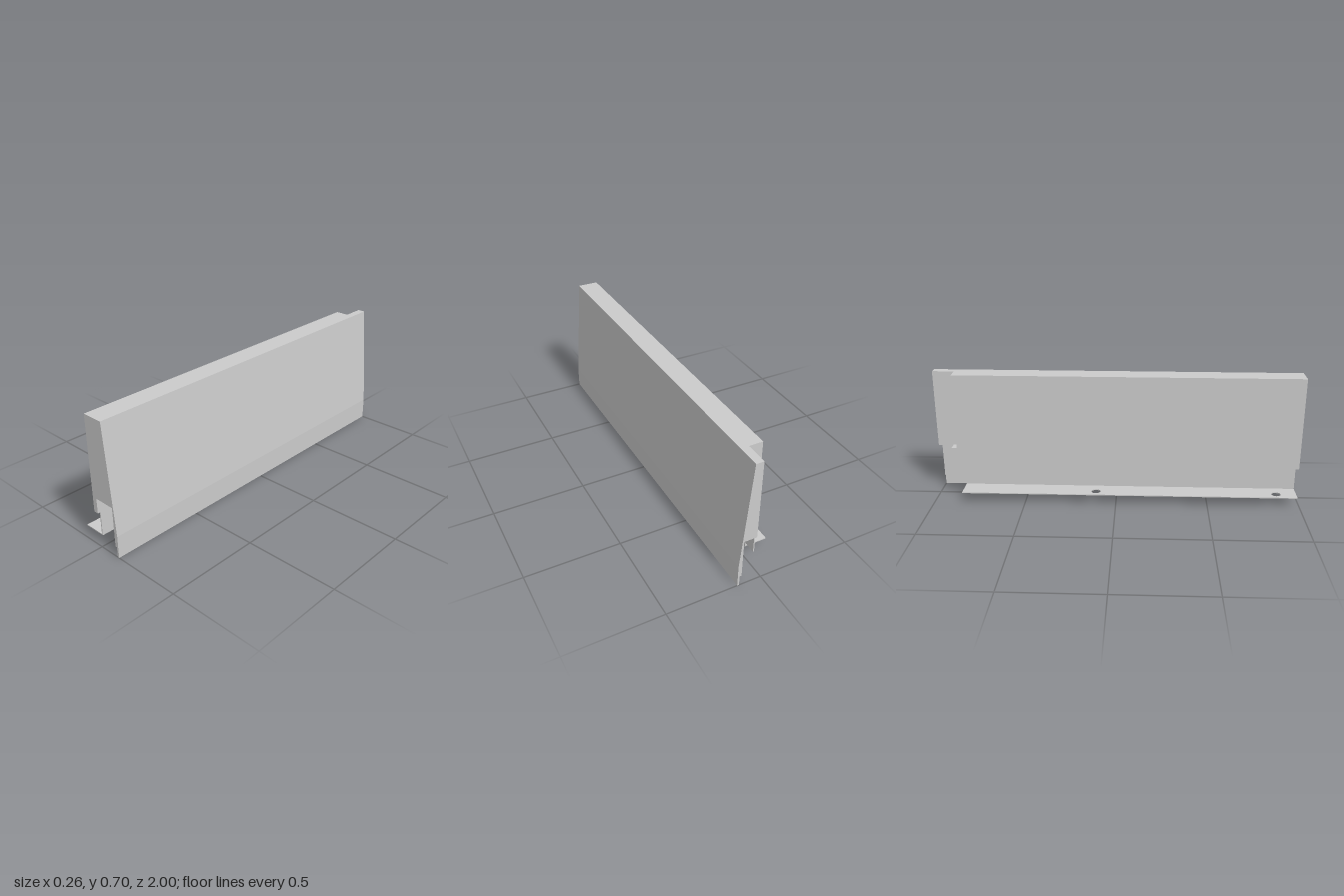
import * as THREE from 'three';

const material = new THREE.MeshStandardMaterial({ color: 0xcccccc });

const outline = (points) => new THREE.Shape(points.map(([a, b]) => new THREE.Vector2(a, b)));

const extrude = (shape, depth) =>
  new THREE.ExtrudeGeometry(shape, { depth, bevelEnabled: false, curveSegments: 16 });

function addPart(group, name, geometry) {
  const mesh = new THREE.Mesh(geometry, material);
  mesh.name = name;
  group.add(mesh);
}

export function createModel() {
  const group = new THREE.Group();
  group.name = 'panelWithBracket';

  // Sloped outer face and stepped lower lip, shared by both panel sections
  const outerSide = [
    [0.108, 0.269], [0.108, 0.056], [0.118, 0.056], [0.118, 0],
    [0.128, 0], [0.128, 0.12], [0.081, 0.7],
  ];

  // Main panel with the channel underneath
  const mainProfile = [
    [-0.033, 0.7], [-0.033, 0.187], [-0.007, 0.187], [-0.007, 0.269], ...outerSide,
  ];
  addPart(group, 'panelBody', extrude(outline(mainProfile), 1.88).translate(0, 0, -0.88));

  // Narrower rear end beside the notch
  const rearProfile = [[0.04, 0.7], [0.04, 0.269], ...outerSide];
  addPart(group, 'panelRearEnd', extrude(outline(rearProfile), 0.12).translate(0, 0, -1));

  // Upright bracket web, drawn as z and y, with a raised rear corner
  const web = outline([
    [0.985, 0.055], [0.985, 0.187], [-0.88, 0.187], [-0.88, 0.275],
    [-0.915, 0.275], [-0.915, 0.082], [-0.845, 0.082], [-0.845, 0.055],
  ]);
  addPart(group, 'bracketWeb', extrude(web, 0.006).rotateY(-Math.PI / 2).translate(-0.007, 0, 0));

  // Folded upper tab showing in the notch
  addPart(group, 'bracketTopTab',
    new THREE.BoxGeometry(0.047, 0.006, 0.035).translate(0.0165, 0.272, -0.8975));

  // Mounting flange, drawn as x and z, with two screw holes
  const flange = outline([[-0.128, -0.845], [-0.013, -0.845], [-0.013, 0.985], [-0.128, 0.985]]);
  for (const z of [-0.11, 0.875]) {
    flange.holes.push(new THREE.Path().absarc(-0.085, z, 0.025, 0, Math.PI * 2, true));
  }
  addPart(group, 'mountingFlange', extrude(flange, 0.005).rotateX(Math.PI / 2).translate(0, 0.06, 0));

  return group;
}
